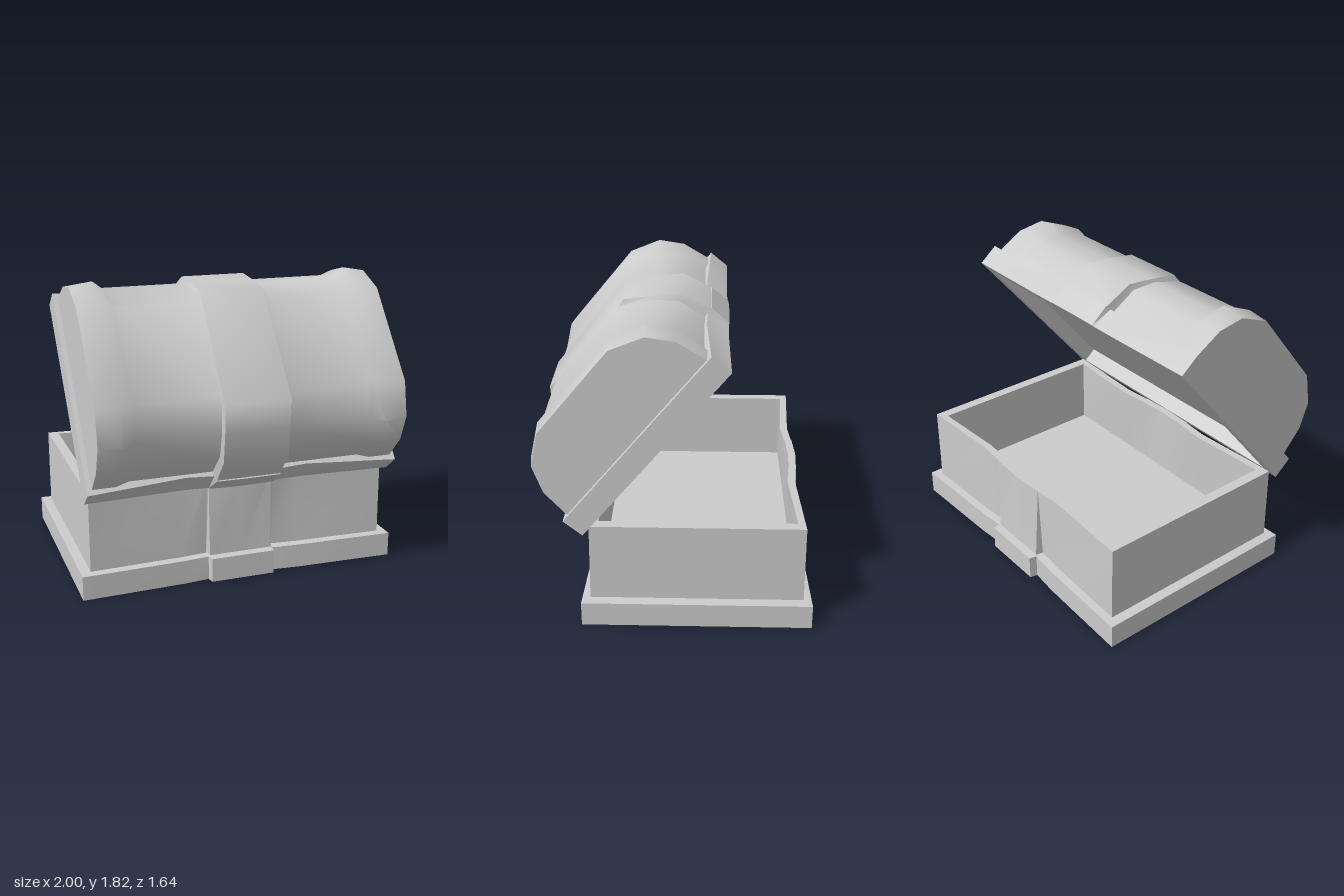
import * as THREE from 'three';
import { toCreasedNormals } from 'three/addons/utils/BufferGeometryUtils.js';

// Skins a list of closed rings (equal point counts) and caps both ends.
function loft(rings, crease) {
  const n = rings[0].length;
  const pos = rings.flat(2);
  const idx = [];
  for (let i = 0; i < rings.length - 1; i++) {
    for (let j = 0; j < n; j++) {
      const k = (j + 1) % n;
      const a = i * n + j, b = i * n + k, c = b + n, d = a + n;
      idx.push(a, b, c, a, c, d);
    }
  }
  [0, rings.length - 1].forEach((r, end) => {
    const ring = rings[r];
    const centre = pos.length / 3;
    for (let k = 0; k < 3; k++) pos.push(ring.reduce((s, p) => s + p[k], 0) / n);
    for (let j = 0; j < n; j++) {
      const a = r * n + j, b = r * n + (j + 1) % n;
      idx.push(centre, end ? a : b, end ? b : a);
    }
  });
  const geo = new THREE.BufferGeometry();
  geo.setAttribute('position', new THREE.Float32BufferAttribute(pos, 3));
  geo.setIndex(idx);
  return toCreasedNormals(geo, crease);
}

// Rectangular ring at height y; both long sides are pushed out by the
// offsets at |x| = 0.38, 0.21, 0.2 and 0, giving the worn sides and middle band.
function box(y, hx, zBack, zFront, off = [0, 0, 0, 0]) {
  const side = [[hx, 0], [0.38, off[0]], [0.21, off[1]], [0.2, off[2]]];
  const half = [...side.map(([x, o]) => [-x, o]), [0, off[3]],
    ...side.slice().reverse()];
  return [
    ...half.map(([x, o]) => [x, y, zFront + o]),
    ...half.slice().reverse().map(([x, o]) => [x, y, zBack - o]),
  ];
}

// Arched lid section at x from four half-profile points [z, y].
function arch(x, pts) {
  return [
    ...pts.map(([z, y]) => [x, y, -z]),
    ...pts.slice().reverse().map(([z, y]) => [x, y, z]),
  ];
}

export function createModel() {
  const chest = new THREE.Group();
  chest.name = 'chest';
  const mat = new THREE.MeshStandardMaterial({ color: 0xcccccc });
  const add = (parent, name, geo) => {
    const mesh = new THREE.Mesh(geo, mat);
    mesh.name = name;
    parent.add(mesh);
  };

  // Base: hollow underside, plinth, walls and inner tray in one skin
  const plinth = [-0.02, -0.035, 0.01, 0.01];
  const wallFoot = [-0.02, -0.035, 0.01, 0.01];
  const wallTop = [-0.028, -0.014, -0.01, 0];
  add(chest, 'base', loft([
    box(0.08, 0.93, -0.73, 0.485),
    box(0, 0.93, -0.73, 0.485),
    box(0, 1, -0.8, 0.555, plinth),
    box(0.15, 1, -0.8, 0.555, plinth),
    box(0.155, 0.94, -0.75, 0.505, wallFoot),
    box(0.635, 0.94, -0.747, 0.5, wallTop),
    box(0.635, 0.875, -0.7, 0.45, wallTop),
    box(0.2, 0.875, -0.7, 0.45),
  ], 0.35));

  // Lid, tilted open about the hinge side
  const lid = new THREE.Group();
  lid.name = 'lid';
  lid.position.set(0, 1.1, 0.117);
  lid.rotation.x = 0.883;
  chest.add(lid);

  // Lid rim with a shallow recess below
  const L = 0.654;
  add(lid, 'lidRim', loft([
    box(0.1, 0.9, -0.59, 0.59),
    box(0, 0.9, -0.59, 0.59),
    box(0, 0.97, -L, L, [-0.012, -0.008, 0, 0.004]),
    box(0.142, 0.97, -L, L, [-0.04, -0.03, 0.006, 0.008]),
  ], 0.35));

  // Arched lid shell: flared ends, narrower waist, raised middle band
  const end = [[0.62, 0.135], [0.59, 0.33], [0.503, 0.477], [0.318, 0.578]];
  const flare = [[0.62, 0.135], [0.6, 0.33], [0.525, 0.49], [0.325, 0.592]];
  const waist = [[0.595, 0.135], [0.573, 0.32], [0.482, 0.447], [0.31, 0.573]];
  const neck = [[0.595, 0.135], [0.573, 0.32], [0.478, 0.445], [0.31, 0.572]];
  const band = [[0.655, 0.135], [0.615, 0.33], [0.49, 0.46], [0.365, 0.577]];
  const half = [[0.94, end], [0.8, flare], [0.72, waist], [0.212, neck], [0.2, band]];
  add(lid, 'lidShell', loft([
    ...half.map(([x, p]) => arch(-x, p)),
    ...half.slice().reverse().map(([x, p]) => arch(x, p)),
  ], 0.85));

  return chest;
}
